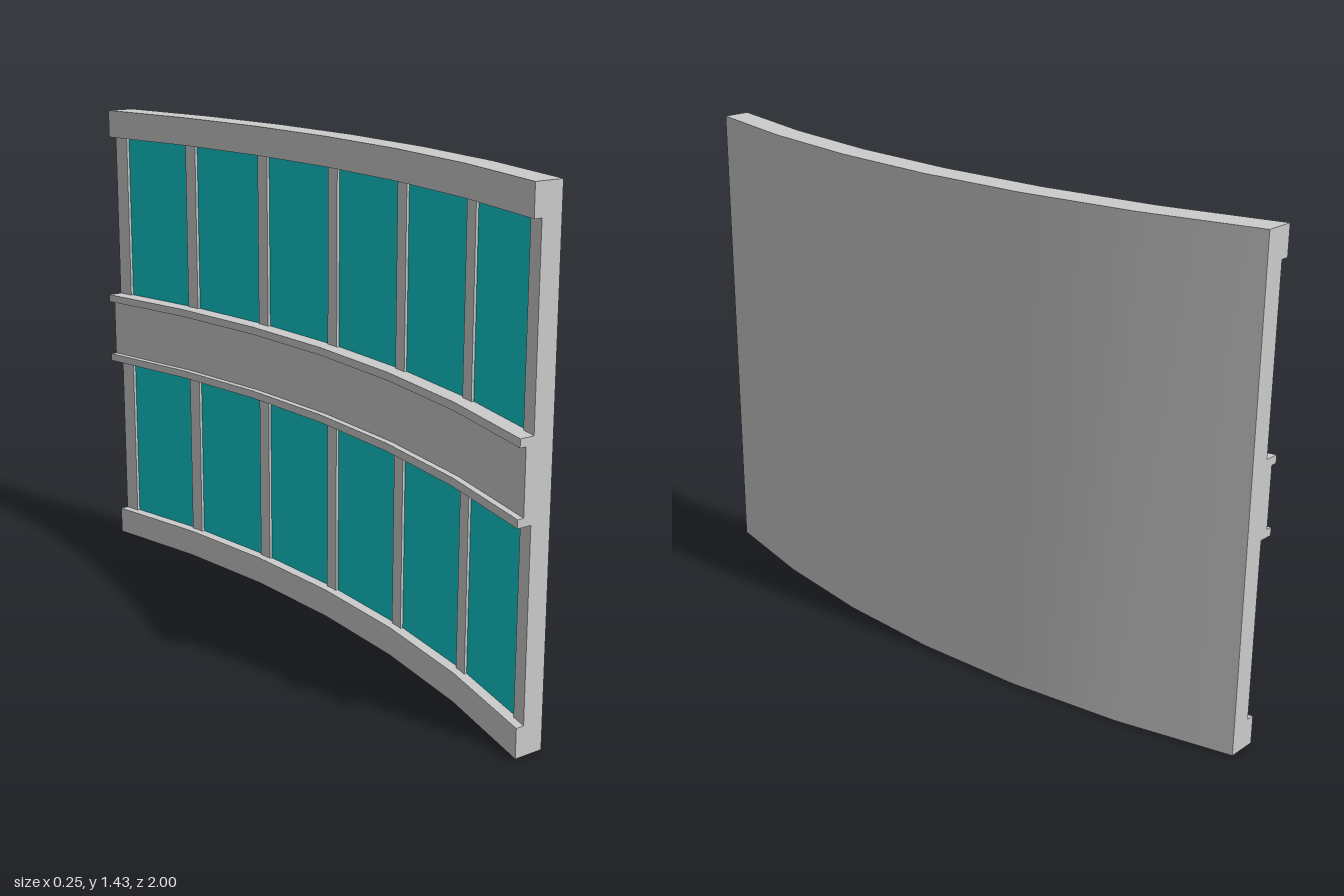
import * as THREE from 'three';
import { toCreasedNormals } from 'three/addons/utils/BufferGeometryUtils.js';

const HEIGHT = 1.43, BAYS = 6, STEP = 2 / BAYS;

// x of the outer skin along z: a shallow arc made of straight bays
function bow(z) {
  const R = 3.64;
  const arc = (s) => 0.122 - R + Math.sqrt(R * R - s * s);
  const i = Math.min(BAYS - 1, Math.max(0, Math.floor((z + 1) / STEP + 1e-6)));
  const z0 = -1 + i * STEP;
  return THREE.MathUtils.lerp(arc(z0), arc(z0 + STEP), (z - z0) / STEP);
}

// Sweep a section of [depth behind the skin, y] points from z0 to z1 along the arc
function sweep(section, z0, z1, steps) {
  const shape = new THREE.Shape(section.map(([t, y]) => new THREE.Vector2(-t, y)));
  const geo = new THREE.ExtrudeGeometry(shape, { depth: z1 - z0, steps, bevelEnabled: false });
  geo.translate(0, 0, z0);
  const p = geo.attributes.position;
  for (let i = 0; i < p.count; i++) p.setX(i, p.getX(i) + bow(p.getZ(i)));
  return toCreasedNormals(geo, 0.6);
}

const rect = (t0, t1, y0, y1) => [[t0, y0], [t0, y1], [t1, y1], [t1, y0]];

export function createModel() {
  const group = new THREE.Group();
  const grey = new THREE.MeshStandardMaterial({ color: 0xcccccc });
  const teal = new THREE.MeshStandardMaterial({ color: 0x10c8cc });
  const add = (name, geo, mat = grey) => {
    const mesh = new THREE.Mesh(geo, mat);
    mesh.name = name;
    group.add(mesh);
  };

  // Wall with edge beams at top and bottom and a lipped belt across the middle
  const wall = 0.046, beam = 0.086, lip = 0.105;
  add('curvedWall', sweep([
    [0, 0], [0, HEIGHT],
    [beam, HEIGHT], [beam, 1.345], [wall, 1.345],
    [wall, 0.83], [lip, 0.83], [lip, 0.807], [beam, 0.807],
    [beam, 0.63], [lip, 0.63], [lip, 0.607], [wall, 0.607],
    [wall, 0.083], [beam, 0.083], [beam, 0],
  ], -1, 1, BAYS));

  // Coloured infill panels in two rows, with ribs between the bays
  const rows = [['lower', 0.08, 0.61], ['upper', 0.825, 1.35]];
  for (const [row, y0, y1] of rows) {
    for (let i = 0; i < BAYS; i++) {
      const z = -1 + i * STEP;
      add(`${row}Panel${i + 1}`, sweep(rect(0.03, 0.054, y0, y1), z + 0.02, z + STEP - 0.02, 1), teal);
    }
    for (let i = 0; i <= BAYS; i++) {
      const z = -1 + i * STEP;
      const z0 = i === 0 ? -1 : z - (i === BAYS ? 0.05 : 0.022);
      const z1 = i === BAYS ? 1 : z + (i === 0 ? 0.05 : 0.022);
      add(`${row}Rib${i + 1}`, sweep(rect(0.02, 0.062, y0, y1), z0, z1, 2));
    }
  }
  return group;
}
